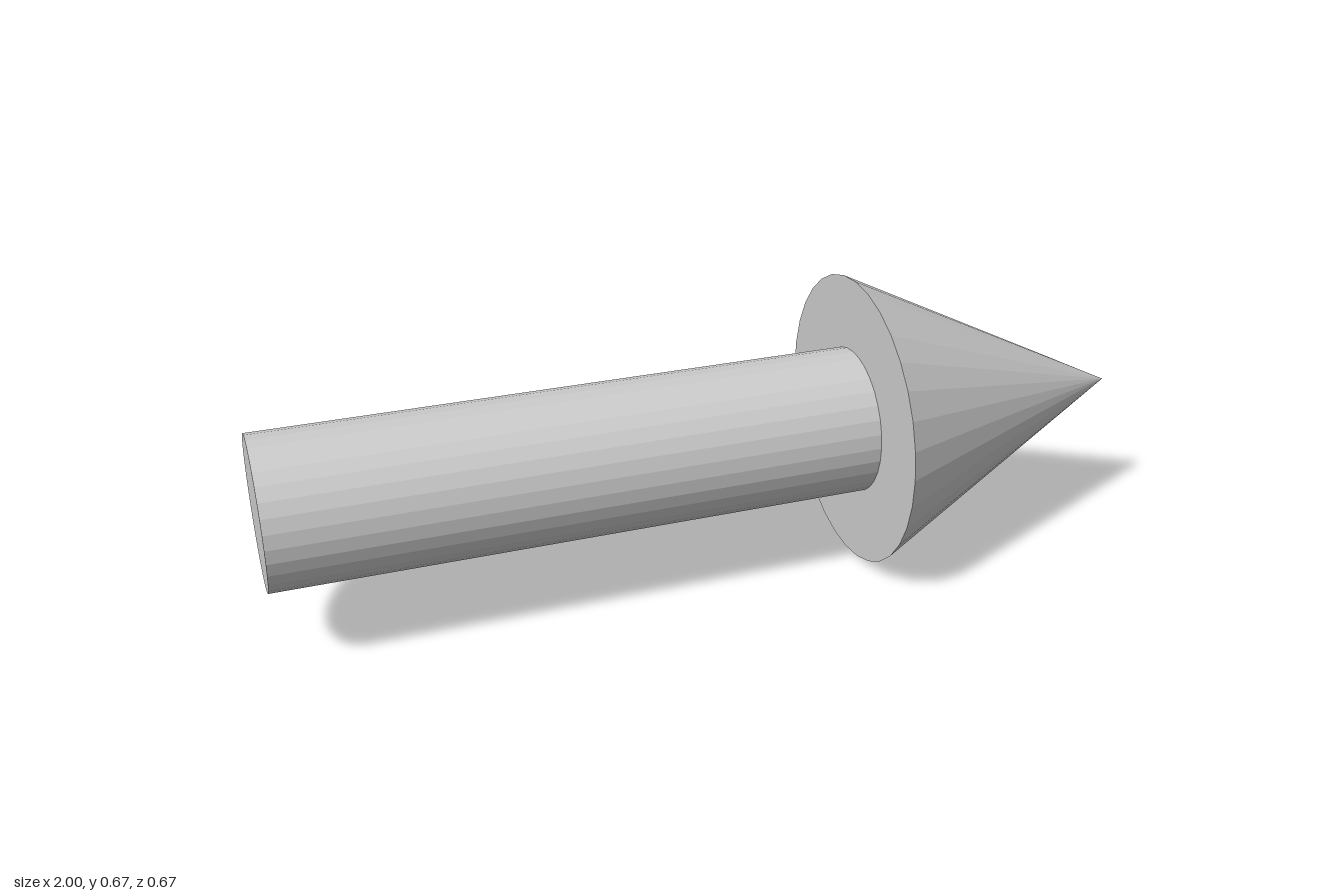
import * as THREE from 'three';

const RADIUS = 1 / 3; // head radius, also the height of the axis
const SIDES = 32;

export function createModel() {
  const group = new THREE.Group();
  group.name = 'arrow';
  const material = new THREE.MeshStandardMaterial({ color: 0xcccccc, flatShading: true });

  // Lays an upright geometry along +x, centred at x
  const addPart = (name, geometry, x) => {
    geometry.rotateZ(-Math.PI / 2);
    const mesh = new THREE.Mesh(geometry, material);
    mesh.name = name;
    mesh.position.set(x, RADIUS, 0);
    group.add(mesh);
  };

  // Shaft from x = -1 to the base of the head
  addPart('shaft', new THREE.CylinderGeometry(RADIUS / 2, RADIUS / 2, 4 / 3, SIDES), -1 / 3);

  // Pointed head ending at x = 1
  addPart('head', new THREE.ConeGeometry(RADIUS, 2 / 3, SIDES), 2 / 3);

  return group;
}
